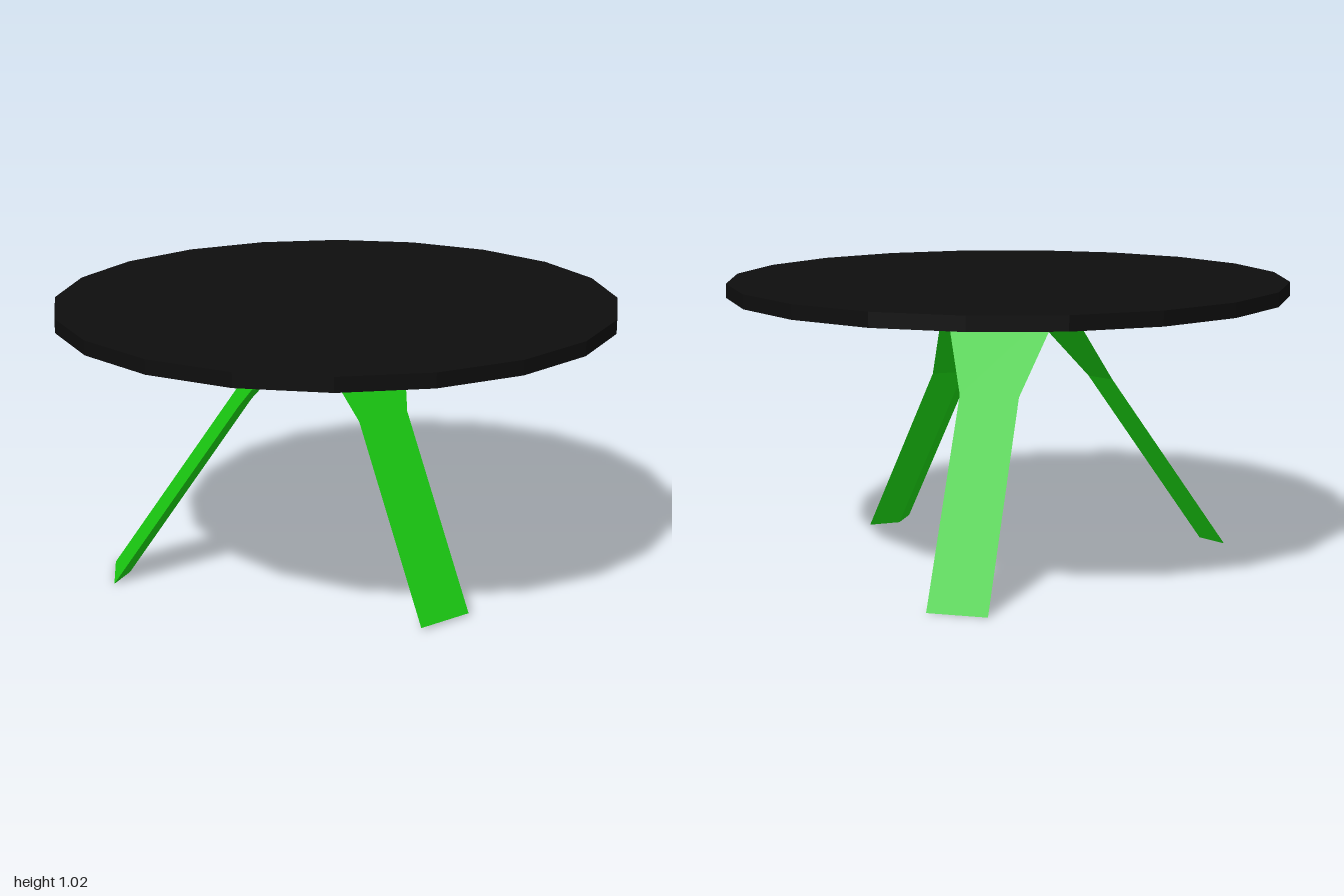
import * as THREE from 'three';

const TOP_Y = 0.975;    // underside of the table top
const KNEE_Y = 0.655;   // where the flared head becomes a straight leg
const HALF_W = 0.105;   // half width of a leg
const CENTRE_X = -0.02; // legs meet on this axis
const IN_RADIUS = 0.125;
const HEAD_HALF_W = IN_RADIUS * Math.sqrt(3); // heads close into a triangle

// Three-sided leg: flat outer face, ridge on the inside, flared head
function legGeometry(angle, footX, footY, footZ) {
  const n = new THREE.Vector3(Math.cos(angle), 0, Math.sin(angle));
  const t = new THREE.Vector3(-Math.sin(angle), 0, Math.cos(angle));
  const section = (c, halfW, depth) => [
    c.clone().addScaledVector(t, halfW),
    c.clone().addScaledVector(t, -halfW),
    c.clone().addScaledVector(n, -depth),
  ];

  const foot = new THREE.Vector3(footX, footY, footZ);
  const head = new THREE.Vector3(CENTRE_X, TOP_Y, 0).addScaledVector(n, IN_RADIUS);
  const knee = foot.clone().lerp(head, (KNEE_Y - footY) / (TOP_Y - footY));
  const rings = [
    section(foot, HALF_W, 0.055),
    section(knee, HALF_W, 0.055),
    section(head, HEAD_HALF_W, IN_RADIUS),
  ];

  const points = [];
  for (let i = 0; i < 2; i++) {
    for (let j = 0; j < 3; j++) {
      const k = (j + 1) % 3;
      const [a, b, c, d] = [rings[i][j], rings[i][k], rings[i + 1][k], rings[i + 1][j]];
      points.push(a, b, c, a, c, d);
    }
  }
  points.push(rings[0][0], rings[0][2], rings[0][1]); // sole
  points.push(...rings[2]);                           // cap under the top

  const geometry = new THREE.BufferGeometry().setFromPoints(points);
  geometry.computeVertexNormals();
  return geometry;
}

export function createModel() {
  const model = new THREE.Group();
  model.name = 'roundTable';

  const black = new THREE.MeshStandardMaterial({ color: 0x0d0d0d, flatShading: true });
  const green = new THREE.MeshStandardMaterial({ color: 0x19c811, flatShading: true });

  // Twenty-sided table top
  const top = new THREE.Mesh(new THREE.CylinderGeometry(1, 1, 0.05, 20), black);
  top.name = 'tableTop';
  top.position.y = TOP_Y + 0.025;
  model.add(top);

  // Three splayed legs, 120 degrees apart, with slightly different reach
  const feet = [
    ['leftLeg', 0.645, 0.01, 0],
    ['frontRightLeg', -0.412, 0, 0.711],
    ['backRightLeg', -0.385, 0, -0.652],
  ];
  feet.forEach(([name, x, y, z], i) => {
    const leg = new THREE.Mesh(legGeometry((i * Math.PI * 2) / 3, x, y, z), green);
    leg.name = name;
    model.add(leg);
  });

  return model;
}
